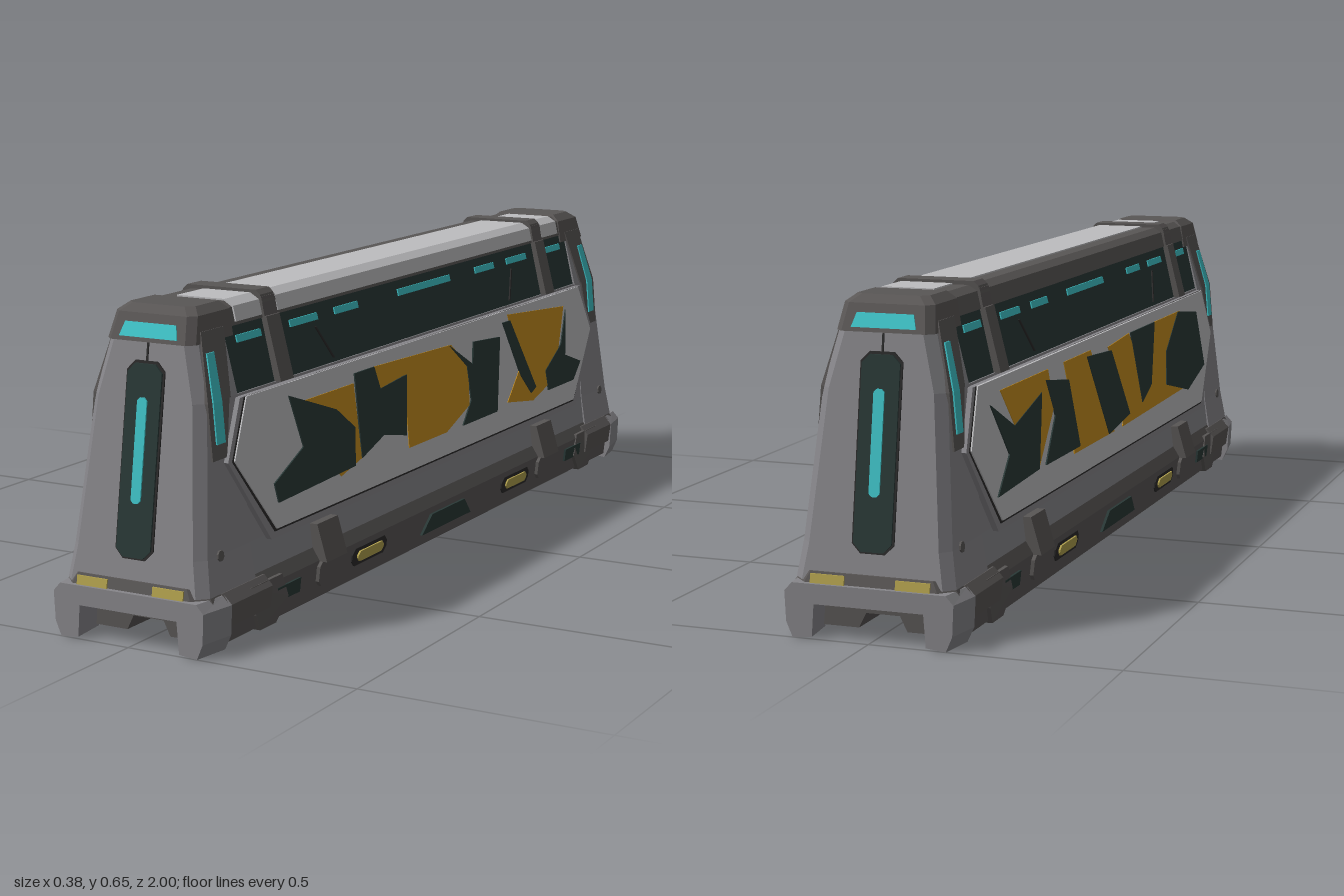
import * as THREE from 'three';

const mat = (name, color) => Object.assign(new THREE.MeshStandardMaterial({ color }), { name });
const M = {
  body: mat('body grey', 0x87868a),
  trim: mat('dark trim', 0x595655),
  panel: mat('pale panel', 0xbdbdbf),
  teal: mat('dark teal', 0x293836),
  ochre: mat('ochre paint', 0xc58d1e),
  glow: mat('cyan light', 0x3fc3c8),
  lamp: mat('pale yellow lamp', 0xb3a24e),
  seam: mat('seam black', 0x2b2a2a),
};

// piecewise-linear lookup
const lerpTable = (t) => (y) => {
  let i = 0;
  while (i < t.length - 2 && y > t[i + 1][0]) i++;
  const [a, b] = [t[i], t[i + 1]];
  return a[1] + (b[1] - a[1]) * (y - a[0]) / (b[0] - a[0]);
};
const sideX = lerpTable([[0.01, 0.165], [0.09, 0.174], [0.12, 0.155], [0.18, 0.15], [0.47, 0.125], [0.6, 0.092], [0.65, 0.082]]);
const endZ = lerpTable([[0.11, 0.982], [0.58, 0.91], [0.645, 0.885]]);

// extruded outline whose points are moved by a rule
function slab(parent, name, pts, depth, material, rule) {
  const shape = new THREE.Shape(pts.map(([x, y]) => new THREE.Vector2(x, y)));
  const geo = new THREE.ExtrudeGeometry(shape, { depth, bevelEnabled: false });
  const p = geo.attributes.position;
  for (let i = 0; i < p.count; i++) p.setXYZ(i, ...rule(p.getX(i), p.getY(i), p.getZ(i)));
  geo.computeVertexNormals();
  const mesh = new THREE.Mesh(geo, material);
  mesh.name = name;
  parent.add(mesh);
}
// plate on a sloping long side (points are z, y)
const onSide = (parent, name, s, pts, material, off, t) =>
  slab(parent, name, pts.map(([z, y]) => [-s * z, y]), t, material,
    (u, v, w) => [s * (sideX(v) + off + w), v, -s * u]);
// plate on a sloping end face (points are x, y)
const onEnd = (parent, name, pts, material, off, t) =>
  slab(parent, name, pts, t, material, (x, y, w) => [x, y, endZ(y) + off + w]);
// straight section running along z (points are x, y)
const along = (parent, name, pts, z0, z1, material) =>
  slab(parent, name, pts, z1 - z0, material, (x, y, w) => [x, y, z0 + w]);
const rect = (a, b, y0, y1) => [[a, y0], [b, y0], [b, y1], [a, y1]];
const mirrorX = (half) => [...half, ...half.map(([x, y]) => [-x, y]).reverse()];
// rectangle with cut corners
const cut = (a, b, y0, y1, c) => [[a + c, y0], [b - c, y0], [b, y0 + c], [b, y1 - c], [b - c, y1], [a + c, y1], [a, y1 - c], [a, y0 + c]];

// closed loft through level rings [y, half width, inner z, outer z, corner cut]
function loft(parent, name, levels, material) {
  const rings = levels.map(([y, h, a, b, c]) =>
    [[h, a], [h, b - c], [h - c, b], [c - h, b], [-h, b - c], [-h, a]].map(([x, z]) => [x, y, z]));
  const v = [], n = 6;
  for (let k = 0; k < rings.length - 1; k++) {
    for (let i = 0; i < n; i++) {
      const j = (i + 1) % n, A = rings[k], B = rings[k + 1];
      v.push(...A[i], ...B[i], ...A[j], ...A[j], ...B[i], ...B[j]);
    }
  }
  const lo = rings[0], hi = rings.at(-1);
  for (let i = 1; i < n - 1; i++) v.push(...lo[0], ...lo[i], ...lo[i + 1], ...hi[0], ...hi[i + 1], ...hi[i]);
  const geo = new THREE.BufferGeometry();
  geo.setAttribute('position', new THREE.Float32BufferAttribute(v, 3));
  geo.computeVertexNormals();
  const mesh = new THREE.Mesh(geo, material);
  mesh.name = name;
  parent.add(mesh);
}

// camouflage patches as (z, y) outlines, one set for each side
const camo = {
  1: [
    ['teal', [[0.64, 0.44], [0.46, 0.38], [0.39, 0.33], [0.4, 0.25], [0.71, 0.24], [0.72, 0.28], [0.6, 0.33]]],
    ['ochre', [[0.6, 0.42], [0.38, 0.42], [0.37, 0.26], [0.46, 0.24]]],
    ['teal', [[0.375, 0.44], [0.29, 0.44], [0.27, 0.39], [0.15, 0.4], [0.17, 0.27], [0.27, 0.29], [0.37, 0.26]]],
    ['ochre', [[0.29, 0.44], [-0.07, 0.43], [-0.15, 0.37], [-0.14, 0.28], [-0.02, 0.24], [0.16, 0.24], [0.16, 0.4], [0.27, 0.39]]],
    ['teal', [[-0.06, 0.43], [-0.17, 0.37], [-0.18, 0.42], [-0.32, 0.41], [-0.28, 0.24], [-0.1, 0.24], [-0.15, 0.29], [-0.14, 0.37]]],
    ['ochre', [[-0.37, 0.455], [-0.69, 0.43], [-0.64, 0.32], [-0.6, 0.26], [-0.48, 0.23], [-0.34, 0.25], [-0.42, 0.32]]],
    ['teal', [[-0.34, 0.44], [-0.38, 0.44], [-0.5, 0.26], [-0.47, 0.25], [-0.42, 0.3]]],
    ['teal', [[-0.7, 0.42], [-0.68, 0.31], [-0.77, 0.28], [-0.72, 0.24], [-0.57, 0.24], [-0.56, 0.29], [-0.66, 0.34]]],
  ],
  '-1': [
    ['teal', [[-0.74, 0.42], [-0.62, 0.36], [-0.45, 0.4], [-0.5, 0.25], [-0.74, 0.24], [-0.66, 0.31]]],
    ['ochre', [[-0.68, 0.44], [-0.4, 0.44], [-0.38, 0.36], [-0.5, 0.25], [-0.6, 0.34]]],
    ['teal', [[-0.42, 0.42], [-0.28, 0.4], [-0.24, 0.25], [-0.46, 0.25], [-0.38, 0.34]]],
    ['ochre', [[-0.3, 0.44], [-0.12, 0.44], [0, 0.24], [-0.28, 0.24], [-0.27, 0.35]]],
    ['teal', [[-0.15, 0.43], [0.02, 0.42], [0.12, 0.26], [-0.04, 0.24]]],
    ['ochre', [[0, 0.43], [0.16, 0.44], [0.26, 0.3], [0.55, 0.3], [0.6, 0.25], [0.06, 0.24], [0.1, 0.3]]],
    ['teal', [[0.17, 0.44], [0.36, 0.44], [0.3, 0.3], [0.22, 0.27]]],
    ['ochre', [[0.36, 0.44], [0.58, 0.44], [0.46, 0.34], [0.44, 0.27], [0.28, 0.27]]],
    ['teal', [[0.56, 0.44], [0.72, 0.42], [0.76, 0.28], [0.6, 0.24], [0.42, 0.28], [0.44, 0.36]]],
  ],
};

function buildEnd() {
  const end = new THREE.Group();
  end.name = 'endPost';
  loft(end, 'post', [0.11, 0.18, 0.47, 0.58].map((y) => [y, sideX(y) + 0.002, 0.8, endZ(y), 0.02]), M.body);
  loft(end, 'postCap', [[0.578, 0.1, 0.77, 0.915, 0.015], [0.63, 0.092, 0.77, 0.895, 0.015], [0.645, 0.074, 0.78, 0.875, 0.015]], M.trim);
  onEnd(end, 'capLight', [[-0.066, 0.586], [0.066, 0.586], [0.058, 0.613], [-0.058, 0.613]], M.glow, 0.003, 0.003);
  // recessed-look window with light bar
  onEnd(end, 'endWindowFrame', cut(-0.043, 0.043, 0.168, 0.543, 0.018), M.seam, -0.004, 0.007);
  onEnd(end, 'endWindow', cut(-0.039, 0.039, 0.172, 0.538, 0.016), M.teal, 0.003, 0.004);
  onEnd(end, 'endLightBar', cut(-0.011, 0.011, 0.275, 0.475, 0.006), M.glow, 0.007, 0.003);
  onEnd(end, 'endSeam', rect(-0.002, 0.002, 0.54, 0.578), M.seam, 0, 0.002);
  // trim lip with lamps above the foot
  loft(end, 'footLip', [[0.098, 0.17, 0.8, 0.992, 0.03], [0.128, 0.15, 0.8, 0.983, 0.025]], M.trim);
  // foot with arched front, narrowing to the tip
  const foot = mirrorX([[0.12, 0.068], [0.125, 0.004], [0.168, 0], [0.182, 0.03], [0.185, 0.09], [0.168, 0.107]]);
  slab(end, 'foot', foot, 0.08, M.body, (x, y, w) => [x * (w > 0.04 ? 0.93 : 1), y, 0.92 + w]);
  along(end, 'footBack', mirrorX([[0.12, 0.045], [0.178, 0.045], [0.184, 0.09], [0.165, 0.11]]), 0.77, 0.925, M.trim);
  for (const s of [1, -1]) {
    onEnd(end, 'endLamp', rect(s * 0.052, s * 0.122, 0.106, 0.125), M.lamp, 0.008, 0.003);
    onSide(end, 'footHeel', s, [[0.8, 0.005], [0.74, 0.005], [0.7, 0.05], [0.72, 0.1], [0.84, 0.1], [0.82, 0.04]], M.trim, -0.02, 0.028);
    // corner collar with light
    onSide(end, 'collarLower', s, [[0.91, 0.36], [0.86, 0.36], [0.835, 0.47], [0.91, 0.47]], M.trim, -0.003, 0.009);
    onSide(end, 'collarUpper', s, [[0.91, 0.47], [0.83, 0.47], [0.8, 0.6], [0.88, 0.6]], M.trim, -0.003, 0.009);
    onSide(end, 'collarLightLower', s, rect(0.865, 0.895, 0.39, 0.47), M.glow, 0.006, 0.003);
    onSide(end, 'collarLightUpper', s, [[0.865, 0.47], [0.895, 0.47], [0.88, 0.56], [0.855, 0.56]], M.glow, 0.006, 0.003);
    onSide(end, 'bolt', s, cut(0.9, 0.92, 0.17, 0.19, 0.006), M.trim, 0.002, 0.004);
  }
  return end;
}

export function createModel() {
  const g = new THREE.Group();
  g.name = 'barrier';

  // long core sections
  along(g, 'baseRail', mirrorX([[0.035, 0.04], [0.05, 0.01], [0.165, 0.01], [0.174, 0.09], [0.155, 0.12]]), -0.93, 0.93, M.trim);
  along(g, 'lowerBody', mirrorX([[0.16, 0.1], [0.15, 0.18], [0.125, 0.47]]), -0.86, 0.86, M.body);
  along(g, 'upperWindow', mirrorX([[0.122, 0.47], [0.092, 0.6]]), -0.82, 0.82, M.teal);
  along(g, 'roofRail', mirrorX([[0.096, 0.595], [0.088, 0.63], [0.07, 0.641]]), -0.8, 0.8, M.trim);

  // pale roof plate, set off to one side
  const roof = [[-0.038, 0.638], [-0.038, 0.644], [0.071, 0.644], [0.091, 0.632], [0.098, 0.602], [0.09, 0.602], [0.08, 0.63]];
  for (const [a, b] of [[-0.6, 0.6], [0.66, 0.755], [-0.755, -0.66]]) along(g, 'roofPlate', roof, a, b, M.panel);

  const hexagon = (d) => [[0.79 + d, 0.465], [0.85 + d, 0.35], [0.72 + d, 0.19 - d], [-0.72 - d, 0.19 - d], [-0.85 - d, 0.35], [-0.79 - d, 0.465]];
  for (const s of [1, -1]) {
    onSide(g, 'panelFrame', s, hexagon(0.018), M.body, -0.002, 0.014);
    onSide(g, 'panelSeam', s, hexagon(0.005), M.seam, 0.009, 0.004);
    onSide(g, 'sidePanel', s, hexagon(0), M.panel, 0.011, 0.005);
    for (const [c, pts] of camo[s]) onSide(g, 'camoPatch', s, pts, M[c], 0.015, c === 'teal' ? 0.004 : 0.0025);
    // broken light line under the roof
    for (const [a, b] of [[0.67, 0.76], [0.45, 0.56], [0.28, 0.38], [-0.15, 0.1], [-0.38, -0.28], [-0.56, -0.45], [-0.76, -0.67]]) {
      onSide(g, 'windowLight', s, rect(a, b, 0.562, 0.576), M.glow, -0.001, 0.003);
    }
    onSide(g, 'centreHatch', s, [[0.12, 0.035], [-0.12, 0.035], [-0.08, 0.075], [0.08, 0.075]], M.teal, -0.002, 0.008);
    for (const e of [1, -1]) {
      onSide(g, 'strapSide', s, rect(e * 0.605, e * 0.655, 0.47, 0.598), M.trim, -0.01, 0.022);
      onSide(g, 'strapShoulder', s, rect(e * 0.605, e * 0.655, 0.598, 0.636), M.trim, -0.01, 0.018);
      onSide(g, 'windowSeam', s, [[e * 0.47, 0.55], [e * 0.465, 0.55], [e * 0.42, 0.48], [e * 0.425, 0.48]], M.seam, 0, 0.003);
      onSide(g, 'bracketLower', s, cut(e * 0.53 - 0.05, e * 0.53 + 0.05, 0.035, 0.09, 0.012), M.trim, -0.01, 0.018);
      onSide(g, 'bracketUpper', s, rect(e * 0.53 - 0.042, e * 0.53 + 0.042, 0.088, 0.165), M.trim, -0.01, 0.028);
      onSide(g, 'sideLampFrame', s, cut(e * 0.36 - 0.075, e * 0.36 + 0.075, 0.04, 0.078, 0.012), M.seam, -0.002, 0.005);
      onSide(g, 'sideLamp', s, cut(e * 0.36 - 0.055, e * 0.36 + 0.055, 0.048, 0.07, 0.008), M.lamp, 0.001, 0.006);
      onSide(g, 'sideVent', s, rect(e * 0.65, e * 0.74, 0.045, 0.075), M.teal, -0.002, 0.007);
    }
  }
  for (const e of [1, -1]) {
    along(g, 'strapTop', mirrorX([[0.096, 0.625], [0.09, 0.64], [0.08, 0.649]]), e * 0.63 - 0.025, e * 0.63 + 0.025, M.trim);
  }

  const front = buildEnd(), back = buildEnd();
  back.rotation.y = Math.PI;
  g.add(front, back);
  return g;
}
